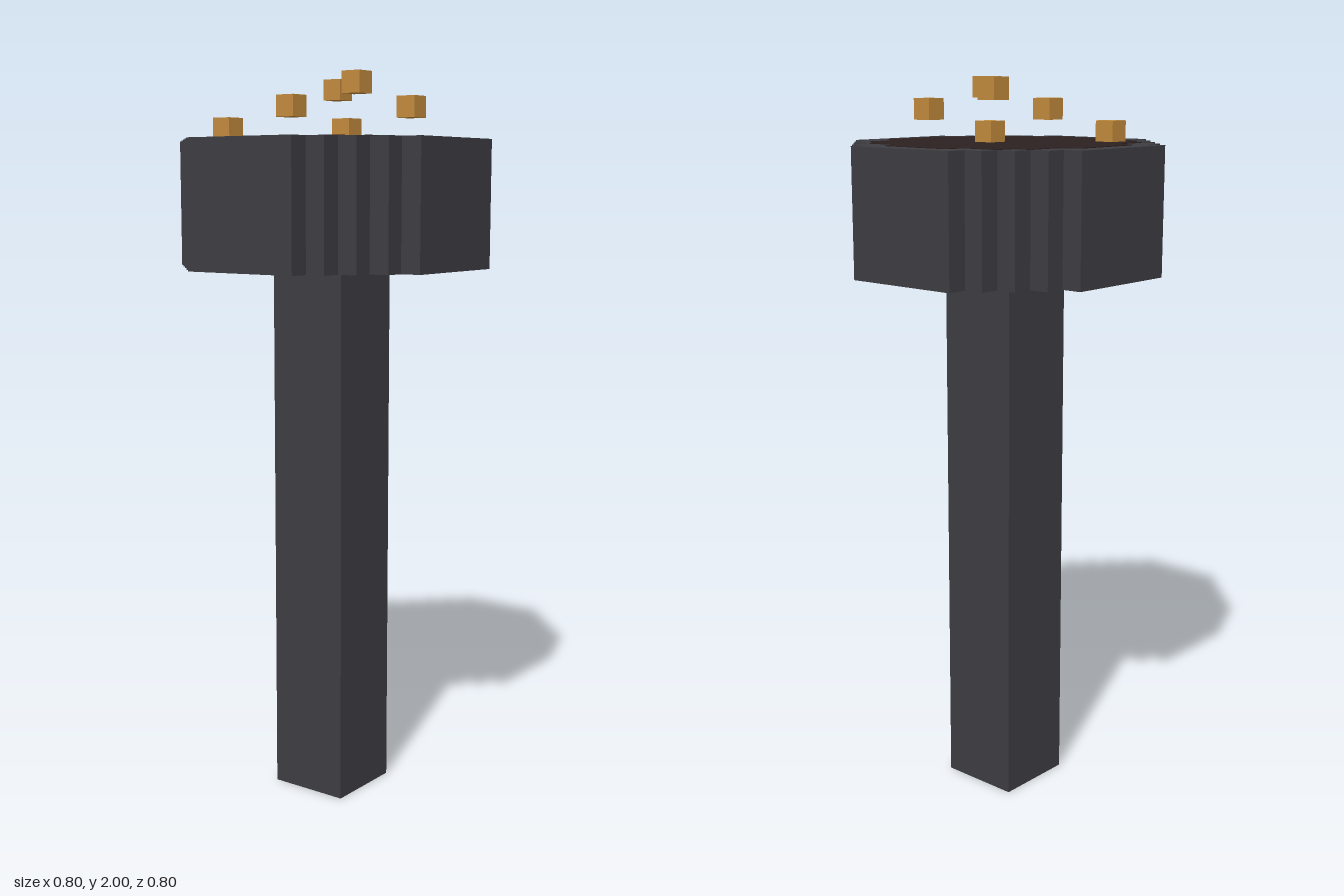
import * as THREE from 'three';

const U = 2 / 35; // one block

const paint = (name, color) => {
  const m = new THREE.MeshStandardMaterial({ color });
  m.name = name;
  return m;
};

// Mirrors a quarter outline (from +x towards +y, in blocks) into a slab
function steppedSlab(quarter, bottom, height) {
  const pts = [];
  const back = [...quarter].reverse();
  for (const [list, sx, sy] of [[quarter, 1, 1], [back, -1, 1], [quarter, -1, -1], [back, 1, -1]]) {
    for (const [x, y] of list) pts.push(new THREE.Vector2(x * sx * U, y * sy * U));
  }
  const geo = new THREE.ExtrudeGeometry(new THREE.Shape(pts), { depth: height, bevelEnabled: false });
  return geo.rotateX(-Math.PI / 2).translate(0, bottom, 0);
}

export function createModel() {
  const group = new THREE.Group();
  const iron = paint('dark iron', 0x3d3c42);
  const char = paint('charred brown', 0x2c2121);
  const glow = paint('ember orange', 0xc18a3c);

  const add = (name, geo, mat) => {
    const mesh = new THREE.Mesh(geo, mat);
    mesh.name = name;
    group.add(mesh);
    return mesh;
  };

  // Square post
  add('post', new THREE.BoxGeometry(4 * U, 26 * U, 4 * U).translate(0, 13 * U, 0), iron);

  // Stepped round bowl
  const rim = [[7, 3], [6, 3], [6, 4], [5, 4], [5, 5], [4, 5], [4, 6], [3, 6], [3, 7]];
  add('bowl', steppedSlab(rim, 26 * U, 6 * U), iron);

  // Coal bed, a thin plate with softened steps
  const half = [[6, 1.85], [5.85, 1.95], [5.25, 2], [5, 2.25], [5, 3.9], [4.9, 4], [4.1, 4.05]];
  const bed = [...half, ...half.map(([x, y]) => [y, x]).reverse()];
  add('coalBed', steppedSlab(bed, 32 * U, 0.002), char);

  // Floating embers, centres in blocks
  const embers = [
    [-3.5, 32.5, 3.5], [0.5, 32.5, -0.5], [-0.5, 33.5, 2.5],
    [3.5, 33.5, -1.5], [-1.5, 34.5, -2.5], [2.5, 34.5, 1.5],
  ];
  const cube = new THREE.BoxGeometry(U, U, U);
  embers.forEach(([x, y, z], i) => {
    add(`ember${i + 1}`, cube, glow).position.set(x * U, y * U, z * U);
  });

  return group;
}
